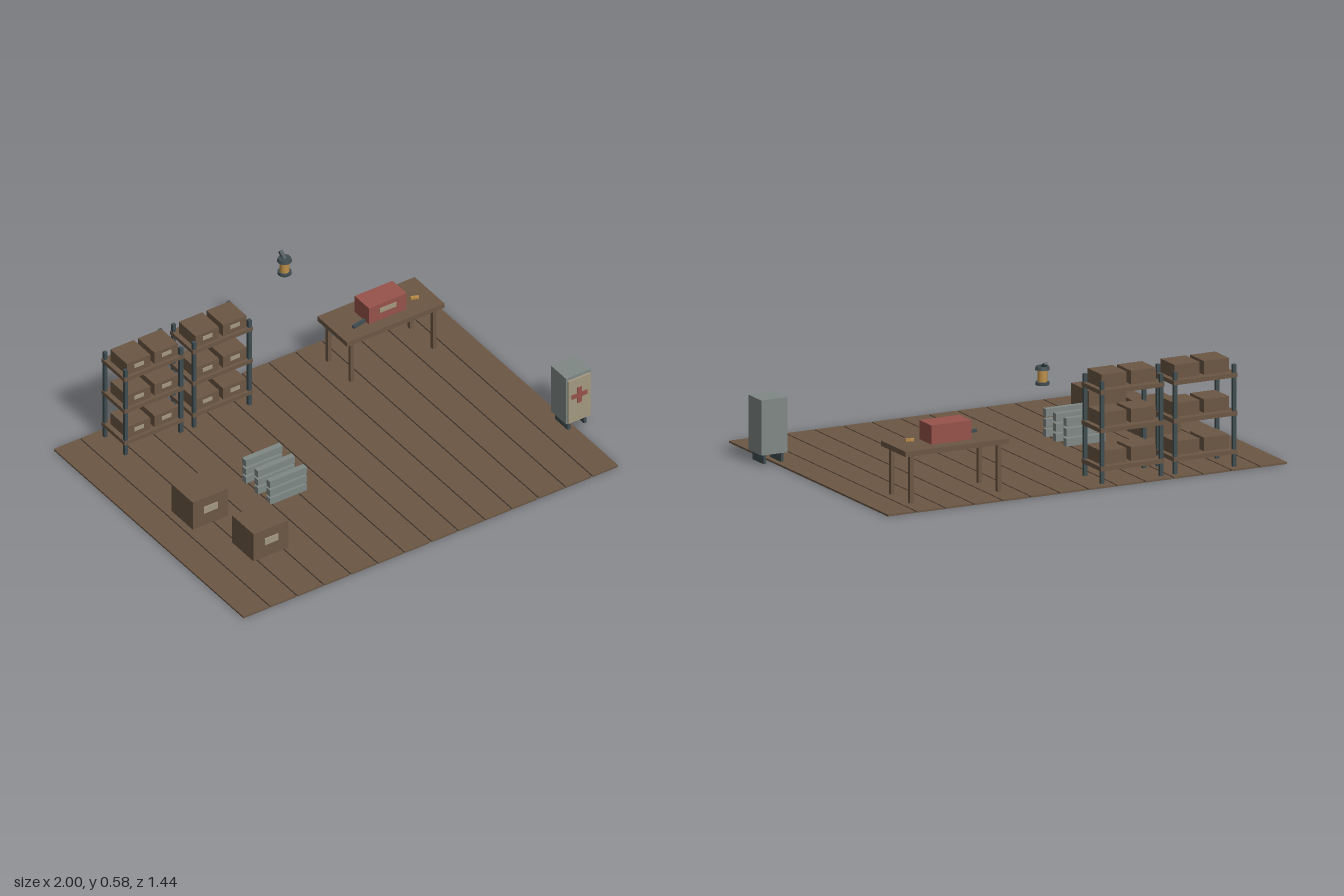
import * as THREE from 'three';

export function createModel() {
  const root = new THREE.Group();
  root.name = 'storageRoom';

  const mat = (name, color) => {
    const m = new THREE.MeshStandardMaterial({ color });
    m.name = name;
    return m;
  };
  const wood = mat('brownWood', 0x6b5644);
  const grey = mat('greyMetal', 0x7f8885);
  const dark = mat('darkMetal', 0x3f4c50);
  const red = mat('redPaint', 0x96534a);
  const beige = mat('beigePaint', 0xa39880);
  const amber = mat('amberGlass', 0xbd8f48);

  const group = (name, x = 0, y = 0, z = 0) => {
    const g = new THREE.Group();
    g.name = name;
    g.position.set(x, y, z);
    root.add(g);
    return g;
  };
  // Box resting on height y, centred on x and z
  const box = (parent, name, m, w, h, d, x, y, z) => {
    const mesh = new THREE.Mesh(new THREE.BoxGeometry(w, h, d), m);
    mesh.name = name;
    mesh.position.set(x, y + h / 2, z);
    parent.add(mesh);
    return mesh;
  };

  // Plank floor with narrow gaps
  const FLOOR = 0.008;
  const floor = group('floor');
  const pitch = 0.138;
  for (let i = 0; i < 14; i++) {
    box(floor, 'plank', wood, 0.131, FLOOR, 1.442, -0.9345 + i * pitch, 0, 0);
  }

  // Two shelf racks, each with three boards and six labelled boxes
  for (const rx of [-0.626, -0.274]) {
    const rack = group('shelfRack', rx, 0, -0.597);
    for (const sx of [-1, 1]) {
      for (const sz of [-1, 1]) {
        box(rack, 'post', dark, 0.016, 0.448, 0.016, sx * 0.142, FLOOR, sz * 0.077);
      }
    }
    for (const y of [0.064, 0.232, 0.4]) {
      box(rack, 'shelfBoard', wood, 0.307, 0.019, 0.176, 0, y, 0);
      for (const sx of [-1, 1]) {
        box(rack, 'storageBox', wood, 0.12, 0.06, 0.126, sx * 0.071, y + 0.019, 0.01);
        box(rack, 'boxLabel', beige, 0.05, 0.018, 0.004, sx * 0.071, y + 0.044, 0.075);
      }
    }
  }

  // Large floor crates
  for (const [x, z] of [[-0.742, 0.006], [-0.654, 0.337]]) {
    const crate = group('crate', x, FLOOR, z);
    box(crate, 'crateBody', wood, 0.18, 0.144, 0.162, 0, 0, 0);
    box(crate, 'crateLabel', beige, 0.07, 0.033, 0.005, 0, 0.065, 0.0835);
  }

  // Metal bars in three columns of three
  const bars = group('metalBars', -0.374, 0, 0);
  for (const z of [0.122, 0.031, -0.061]) {
    for (const y of [0.017, 0.061, 0.106]) {
      box(bars, 'metalBar', grey, 0.19, 0.034, 0.027, 0, y, z);
    }
  }

  // Workbench
  const bench = group('workbench', 0.532, 0, -0.501);
  box(bench, 'benchTop', wood, 0.5, 0.023, 0.226, 0, 0.219, 0);
  for (const sx of [-1, 1]) {
    for (const sz of [-1, 1]) {
      box(bench, 'benchLeg', wood, 0.018, 0.212, 0.018, sx * 0.211, FLOOR, sz * 0.087);
    }
  }

  // Toolbox and small tools on the bench
  const toolbox = group('toolbox', 0.529, 0.242, -0.498);
  box(toolbox, 'toolboxBody', red, 0.194, 0.084, 0.108, 0, 0, 0);
  box(toolbox, 'toolboxLabel', beige, 0.086, 0.022, 0.005, 0, 0.04, 0.0555);
  const tools = group('tools');
  box(tools, 'darkTool', dark, 0.07, 0.013, 0.014, 0.393, 0.245, -0.462).rotation.y = 0.2;
  box(tools, 'amberTool', amber, 0.036, 0.012, 0.011, 0.691, 0.248, -0.48).rotation.y = -0.35;

  // Hanging lantern
  const lantern = group('lantern', 0.16, 0, -0.683);
  const disc = (name, m, rTop, rBottom, y0, y1) => {
    const mesh = new THREE.Mesh(new THREE.CylinderGeometry(rTop, rBottom, y1 - y0, 16), m);
    mesh.name = name;
    mesh.position.y = (y0 + y1) / 2;
    lantern.add(mesh);
  };
  disc('lanternBase', dark, 0.03, 0.03, 0.48, 0.493);
  disc('lanternGlass', amber, 0.021, 0.021, 0.493, 0.546);
  disc('lanternCap', dark, 0.028, 0.032, 0.546, 0.561);
  box(lantern, 'lanternHook', dark, 0.016, 0.012, 0.042, 0, 0.561, -0.015).rotation.x = 0.56;

  // First-aid cabinet on two runners
  const cabinet = group('firstAidCabinet', 0.936, 0, 0.344);
  box(cabinet, 'cabinetBody', grey, 0.127, 0.242, 0.116, 0, 0.049, 0);
  box(cabinet, 'cabinetDoor', beige, 0.114, 0.222, 0.01, 0, 0.055, 0.063);
  box(cabinet, 'crossUpright', red, 0.022, 0.08, 0.004, -0.002, 0.15, 0.07);
  for (const sx of [-1, 1]) {
    box(cabinet, 'crossArm', red, 0.029, 0.022, 0.004, -0.002 + sx * 0.0255, 0.179, 0.07);
    box(cabinet, 'cabinetRunner', dark, 0.014, 0.041, 0.098, sx * 0.042, FLOOR, 0);
  }

  return root;
}
